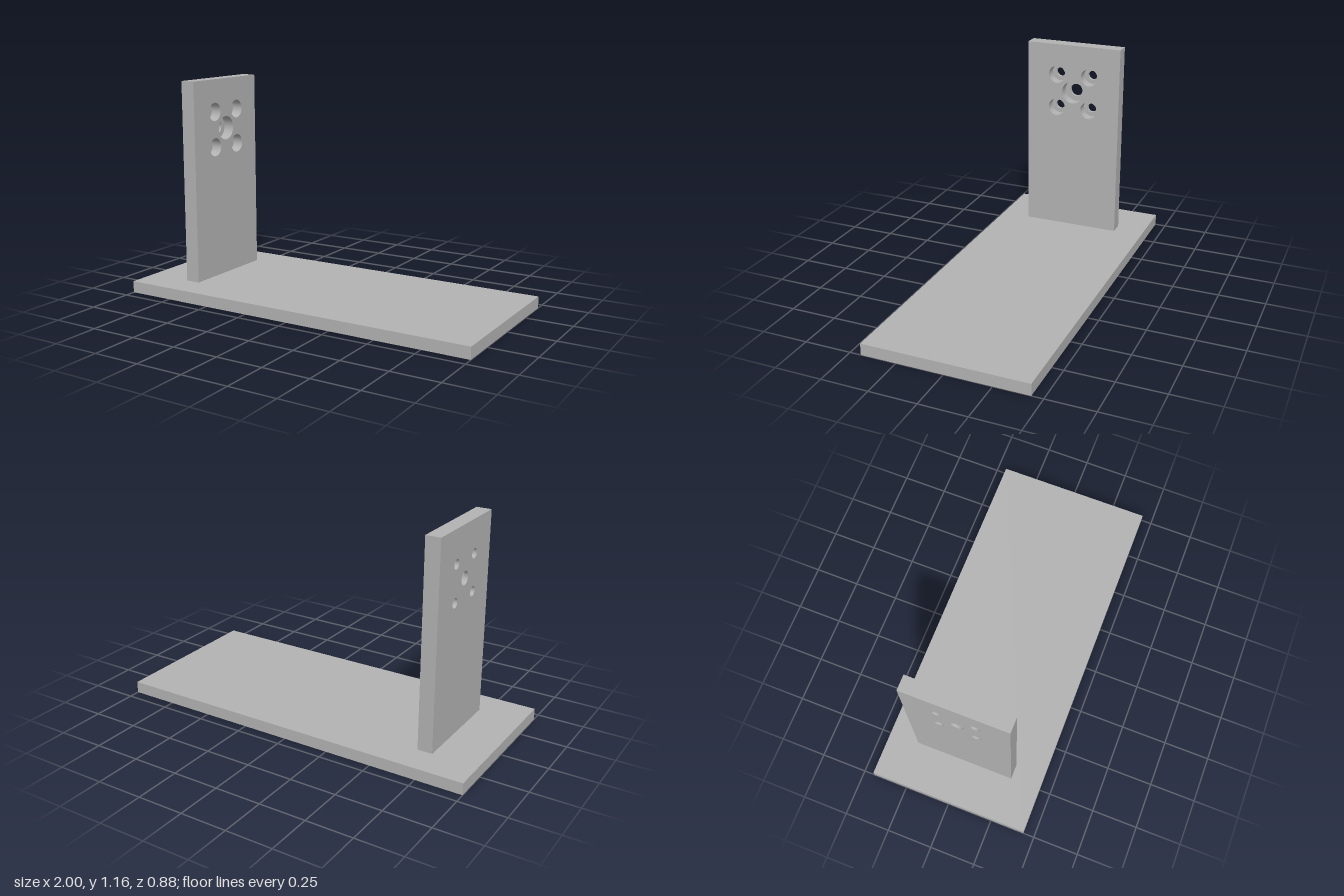
import * as THREE from 'three';

const SEG = 48;
const BACK = -0.757, FRONT = -0.677, LEDGE = -0.737; // x planes of the upright
const BOTTOM = 0.063, TOP = 1.158, HALF = 0.275;

// Stepped holes: wide on the +x side, narrow on the -x side
const holes = [{ z: 0, y: 0.884, wide: 0.065, narrow: 0.036 }];
for (const z of [-0.097, 0.097]) {
  for (const y of [0.787, 0.981]) holes.push({ z, y, wide: 0.05, narrow: 0.026 });
}

export function createModel() {
  const grey = new THREE.MeshStandardMaterial({ color: 0xb2b2b2, side: THREE.DoubleSide });
  grey.name = 'grey';
  const model = new THREE.Group();
  model.name = 'uprightBracket';

  const add = (parent, name, geometry, x = 0, y = 0, z = 0) => {
    const mesh = new THREE.Mesh(geometry, grey);
    mesh.name = name;
    mesh.position.set(x, y, z);
    parent.add(mesh);
  };

  // Flat base
  add(model, 'base', new THREE.BoxGeometry(2, BOTTOM, 0.88), 0, BOTTOM / 2, 0);

  const upright = new THREE.Group();
  upright.name = 'upright';
  model.add(upright);

  // Outer edges of the upright: a box without its two x faces
  const edges = new THREE.BoxGeometry(FRONT - BACK, TOP - BOTTOM, HALF * 2);
  edges.setIndex(Array.from(edges.index.array).slice(12));
  edges.clearGroups();
  add(upright, 'uprightEdges', edges, (FRONT + BACK) / 2, (TOP + BOTTOM) / 2, 0);

  // Pierced faces
  const face = (size, turn) => {
    const shape = new THREE.Shape([
      new THREE.Vector2(-HALF, BOTTOM), new THREE.Vector2(HALF, BOTTOM),
      new THREE.Vector2(HALF, TOP), new THREE.Vector2(-HALF, TOP),
    ]);
    for (const h of holes) {
      shape.holes.push(new THREE.Path().absarc(h.z, h.y, h[size], 0, Math.PI * 2, true));
    }
    return new THREE.ShapeGeometry(shape, SEG / 2).rotateY(turn);
  };
  add(upright, 'wideHoleFace', face('wide', Math.PI / 2), FRONT);
  add(upright, 'narrowHoleFace', face('narrow', -Math.PI / 2), BACK);

  // Hole walls and the ledge between the two diameters
  const bore = (radius, from, to) =>
    new THREE.CylinderGeometry(radius, radius, to - from, SEG, 1, true).rotateZ(Math.PI / 2);
  for (const h of holes) {
    add(upright, 'wideBore', bore(h.wide, LEDGE, FRONT), (LEDGE + FRONT) / 2, h.y, h.z);
    add(upright, 'narrowBore', bore(h.narrow, BACK, LEDGE), (BACK + LEDGE) / 2, h.y, h.z);
    add(upright, 'boreLedge', new THREE.RingGeometry(h.narrow, h.wide, SEG).rotateY(Math.PI / 2), LEDGE, h.y, h.z);
  }
  return model;
}
